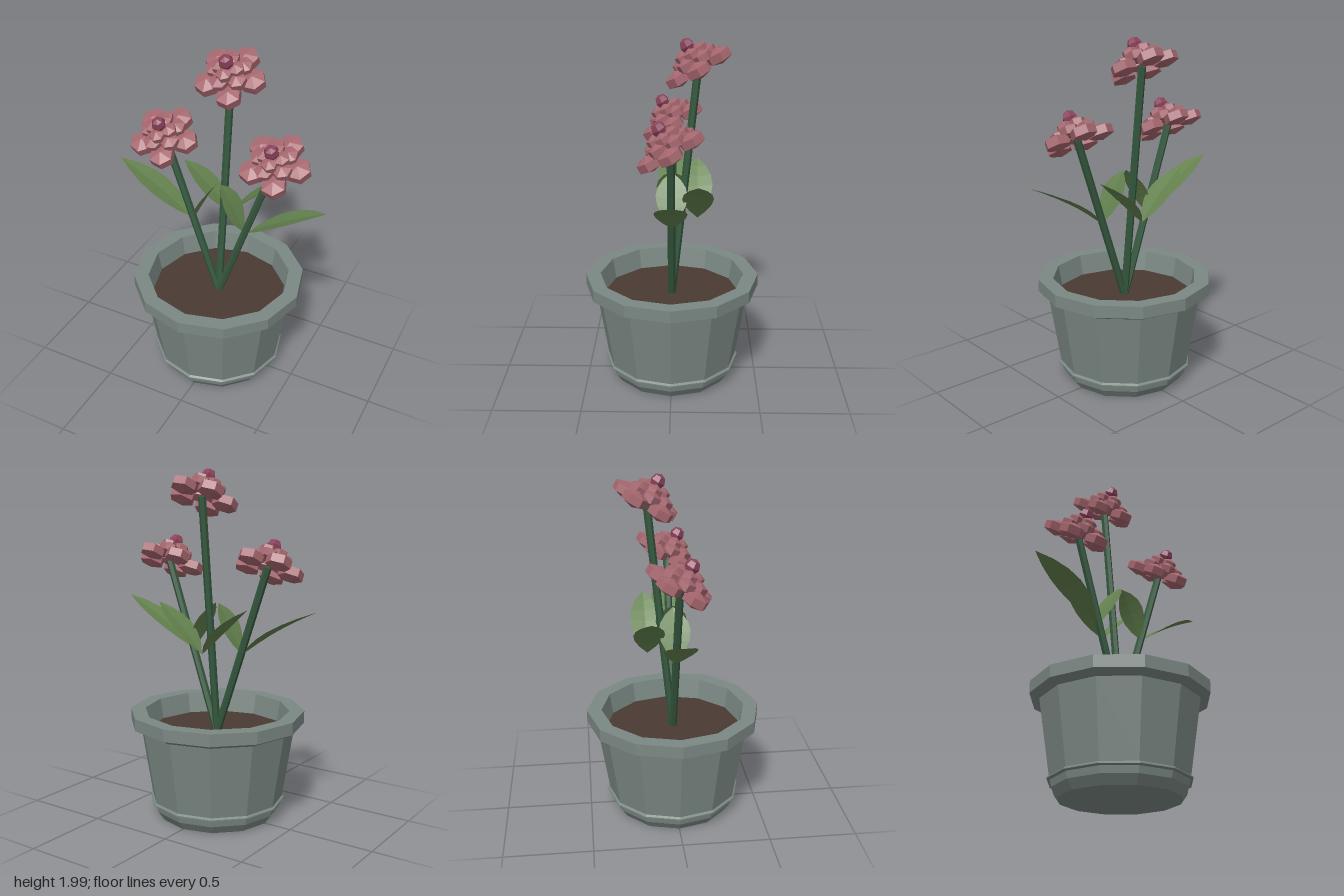
import * as THREE from 'three';

const material = (color, side = THREE.FrontSide) =>
  new THREE.MeshStandardMaterial({ color, side, flatShading: true });

const potMat = material(0x7b8883);
const soilMat = material(0x4a3b32);
const stemMat = material(0x35593f);
const leafMat = material(0x64824e, THREE.DoubleSide);
const petalMat = material(0xa5666e);
const budMat = material(0x8a415a);

function part(name, geometry, mat) {
  const mesh = new THREE.Mesh(geometry, mat);
  mesh.name = name;
  return mesh;
}

// Twelve-sided pot with a foot ring and a thick rim, filled with soil
function createPot() {
  const pot = new THREE.Group();
  pot.name = 'pot';
  const profile = [
    [0, 0], [0.335, 0], [0.37, 0.05], [0.378, 0.088], [0.395, 0.094], [0.395, 0.1],
    [0.383, 0.108], [0.45, 0.53], [0.46, 0.532], [0.505, 0.555], [0.505, 0.625],
    [0.42, 0.625], [0.395, 0.49],
  ].map(([r, y]) => new THREE.Vector2(r, y));
  pot.add(part('potBody', new THREE.LatheGeometry(profile, 12), potMat));
  const soil = part('soil', new THREE.CircleGeometry(0.4, 12), soilMat);
  soil.rotation.x = -Math.PI / 2;
  soil.position.y = 0.505;
  pot.add(soil);
  return pot;
}

// Straight six-sided stem between two points
function createStem(from, to) {
  const dir = to.clone().sub(from);
  const stem = part('stem', new THREE.CylinderGeometry(0.022, 0.022, dir.length(), 6), stemMat);
  stem.position.copy(from).addScaledVector(dir, 0.5);
  stem.quaternion.setFromUnitVectors(new THREE.Vector3(0, 1, 0), dir.normalize());
  return stem;
}

// Blossom: tiers of squashed six-sided petals around the axis, topped by a bud
function createFlower(position) {
  const flower = new THREE.Group();
  flower.name = 'flower';
  const tiers = [
    // count, distance, petal radius, half height, axial height, start angle
    [5, 0.13, 0.07, 0.046, 0, 0],
    [5, 0.08, 0.053, 0.042, 0.04, Math.PI],
    [4, 0.048, 0.045, 0.04, 0.075, Math.PI / 2],
  ];
  for (const [count, distance, radius, half, height, start] of tiers) {
    for (let i = 0; i < count; i++) {
      const a = start + (i / count) * Math.PI * 2;
      const geo = new THREE.SphereGeometry(1, 6, 3);
      geo.scale(radius / Math.sin(Math.PI / 3), half, radius / Math.sin(Math.PI / 3));
      const petal = part('petal', geo, petalMat);
      petal.position.set(Math.cos(a) * distance, height, Math.sin(a) * distance);
      petal.rotation.y = -a;
      flower.add(petal);
    }
  }
  const bud = part('bud', new THREE.SphereGeometry(0.043, 6, 4), budMat);
  bud.position.y = 0.125;
  flower.add(bud);
  flower.position.copy(position);
  flower.rotation.x = Math.PI / 6;
  return flower;
}

// Arched, pointed leaf running in x, with a slightly folded cross-section
function createLeaf(x0, x1, z, halfWidth) {
  const y0 = 0.975, y1 = 1.25, rows = 6;
  const curve = new THREE.QuadraticBezierCurve(
    new THREE.Vector2(x0, y0),
    new THREE.Vector2(x0 + (x1 - x0) * 0.4, y0 + (y1 - y0) * 0.64),
    new THREE.Vector2(x1, y1));
  const geo = new THREE.PlaneGeometry(1, 1, 2, rows);
  const pos = geo.attributes.position;
  for (let i = 0; i < pos.count; i++) {
    const t = pos.getY(i) + 0.5, side = pos.getX(i) * 2;
    const p = curve.getPoint(t);
    const w = Math.pow(Math.sin(Math.PI * t), 0.85);
    pos.setXYZ(i, p.x, p.y - 0.014 * w * (1 - Math.abs(side)), z + side * halfWidth * w);
  }
  geo.computeVertexNormals();
  return part('leaf', geo, leafMat);
}

export function createModel() {
  const model = new THREE.Group();
  model.name = 'pottedFlowers';
  model.add(createPot());

  // Three flowers on stems fanning out from the soil
  const root = new THREE.Vector3(0, 0.49, 0);
  const heads = [[-0.335, 1.47, 0], [0, 1.845, -0.143], [0.335, 1.47, 0]];
  for (const head of heads) {
    const top = new THREE.Vector3(...head);
    model.add(createStem(root, top), createFlower(top));
  }

  // Mirrored leaves: outer and inner on the side stems, one pair behind
  for (const s of [-1, 1]) {
    model.add(
      createLeaf(s * 0.18, s * 0.64, 0, 0.09),
      createLeaf(s * 0.16, s * 0.01, 0, 0.09),
      createLeaf(0, s * 0.3, -0.147, 0.088));
  }
  return model;
}
